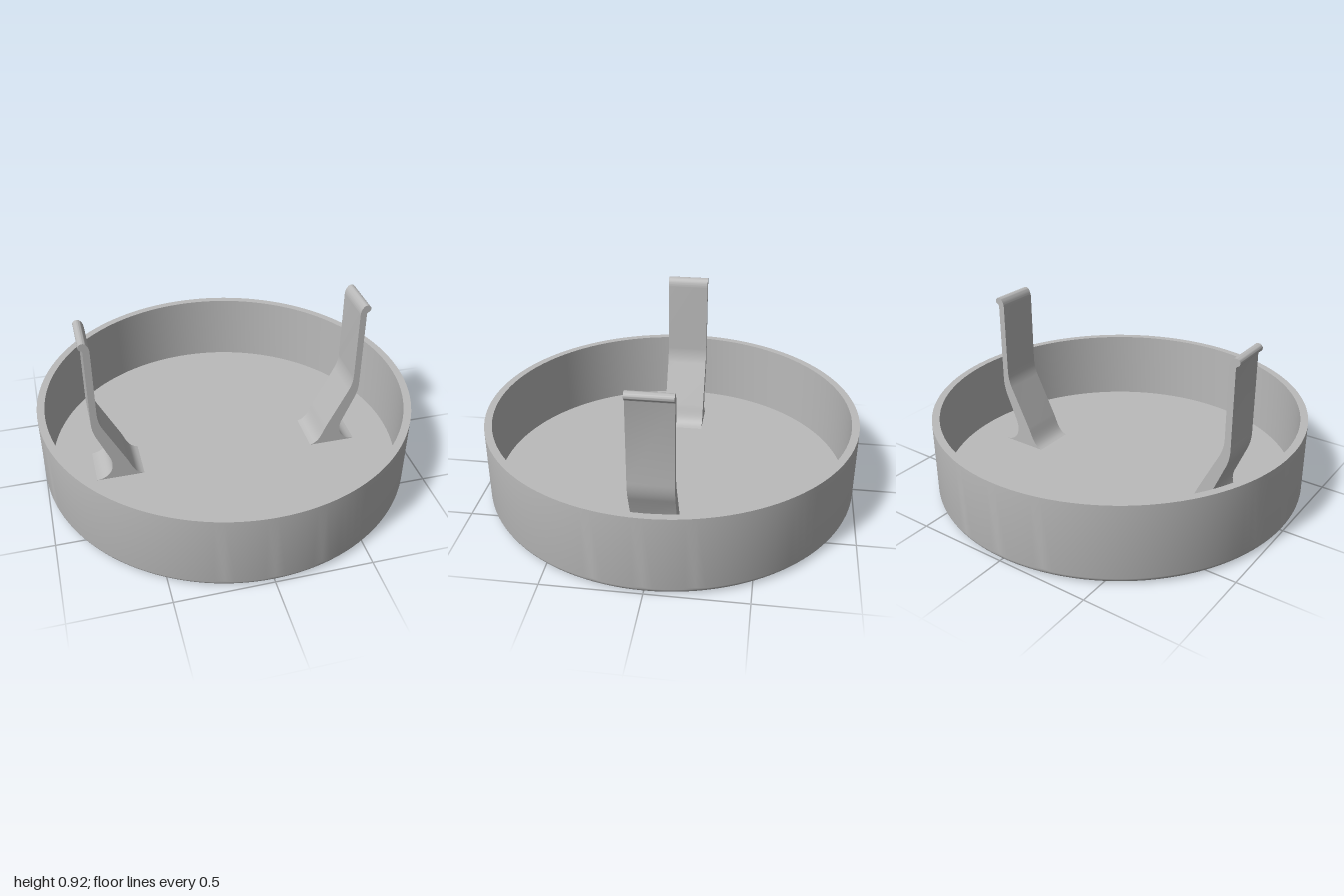
import * as THREE from 'three';
import { toCreasedNormals } from 'three/addons/utils/BufferGeometryUtils.js';

const R = 1, HEIGHT = 0.43, WALL = 0.04, FLOOR = 0.04, FILLET = 0.04;
const CLIP_WIDTH = 0.23;

// Shallow round tray with a rounded bottom edge
function trayGeometry() {
  const profile = [new THREE.Vector2(0, 0)];
  for (let i = 0; i <= 8; i++) {
    const a = (i / 8) * Math.PI / 2;
    profile.push(new THREE.Vector2(R - FILLET + FILLET * Math.sin(a), FILLET - FILLET * Math.cos(a)));
  }
  profile.push(
    new THREE.Vector2(R, HEIGHT),
    new THREE.Vector2(R - WALL, HEIGHT),
    new THREE.Vector2(R - WALL, FLOOR),
    new THREE.Vector2(0, FLOOR),
  );
  return toCreasedNormals(new THREE.LatheGeometry(profile, 128), 0.6);
}

// Side outline of the bent spring clip, extruded across its width
function clipGeometry() {
  const s = new THREE.Shape();
  s.moveTo(0.478, FLOOR - 0.005);
  s.lineTo(0.737, FLOOR - 0.005);
  s.lineTo(0.737, FLOOR);
  s.bezierCurveTo(0.67, 0.045, 0.63, 0.10, 0.652, 0.175);  // outer foot fillet
  s.lineTo(0.715, 0.325);
  s.quadraticCurveTo(0.737, 0.375, 0.737, 0.43);           // outer bend
  s.lineTo(0.737, 0.868);
  s.quadraticCurveTo(0.738, 0.876, 0.747, 0.879);          // hook underside
  s.bezierCurveTo(0.762, 0.886, 0.762, 0.905, 0.748, 0.914);
  s.quadraticCurveTo(0.735, 0.921, 0.722, 0.914);          // hook top
  s.quadraticCurveTo(0.704, 0.897, 0.702, 0.868);
  s.lineTo(0.702, 0.48);
  s.quadraticCurveTo(0.701, 0.43, 0.68, 0.385);            // inner bend
  s.lineTo(0.565, 0.155);
  s.bezierCurveTo(0.542, 0.105, 0.53, 0.05, 0.478, FLOOR); // inner foot fillet
  s.closePath();
  const g = new THREE.ExtrudeGeometry(s, { depth: CLIP_WIDTH, bevelEnabled: false, curveSegments: 10 });
  g.translate(0, 0, -CLIP_WIDTH / 2);
  return toCreasedNormals(g, 0.6);
}

export function createModel() {
  const group = new THREE.Group();
  const grey = new THREE.MeshStandardMaterial({ color: 0xbababa });
  grey.name = 'grey';

  const tray = new THREE.Mesh(trayGeometry(), grey);
  tray.name = 'tray';
  group.add(tray);

  // Two clips facing each other
  const geometry = clipGeometry();
  for (const [name, turn] of [['leftClip', 0], ['rightClip', Math.PI]]) {
    const clip = new THREE.Mesh(geometry, grey);
    clip.name = name;
    clip.rotation.y = turn;
    group.add(clip);
  }
  return group;
}
